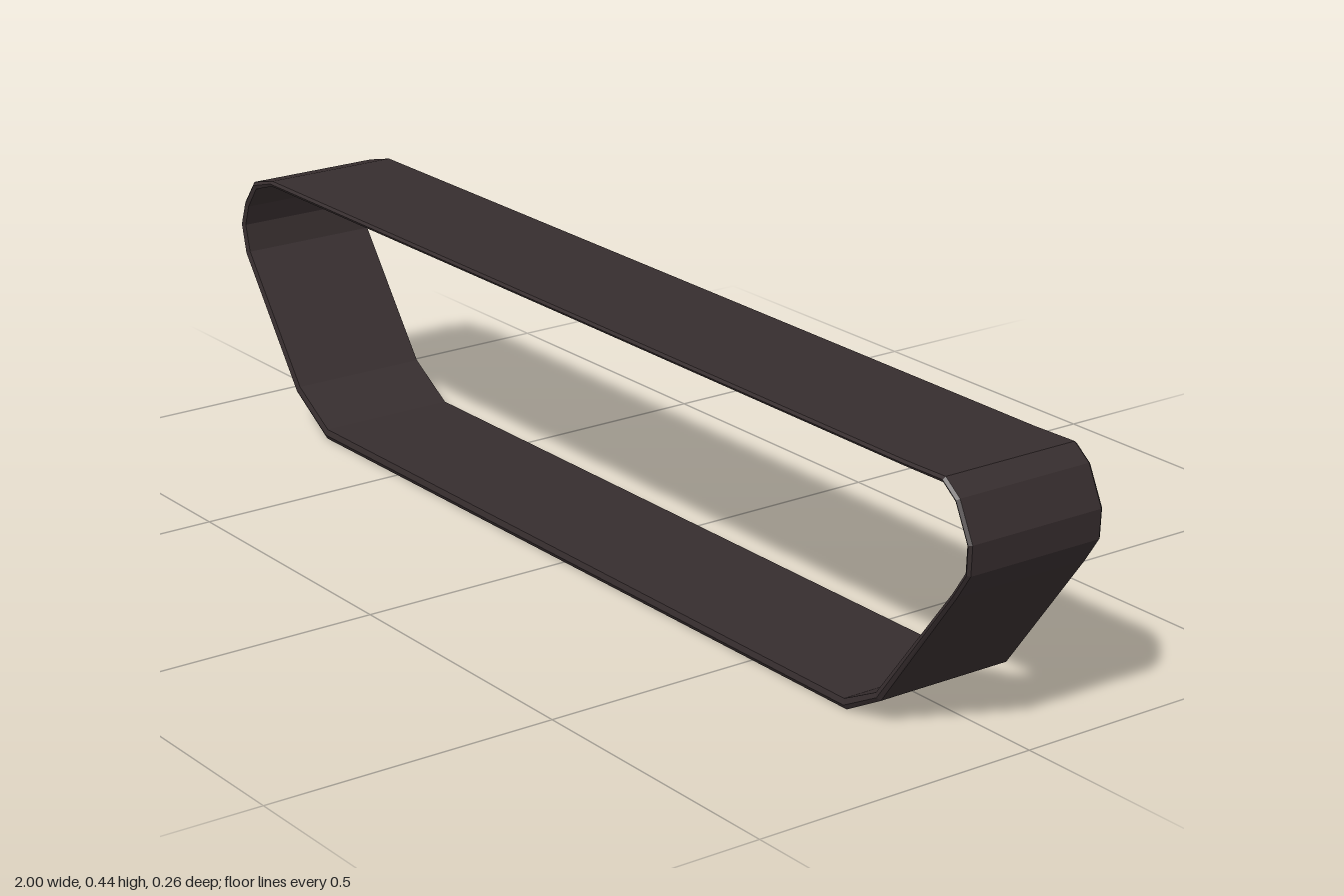
import * as THREE from 'three';

// Outer outline of the belt, counter-clockwise seen from the front: x, y, thickness
const outline = [
  [-0.89, 0.438, 0.009], [-0.952, 0.422, 0.013], [-0.985, 0.378, 0.014], [-1.0, 0.335, 0.015],
  [-0.987, 0.28, 0.016], [-0.826, 0.06, 0.018], [-0.728, 0, 0.019], [0.73, 0, 0.017],
  [0.808, 0.042, 0.014], [0.97, 0.26, 0.009], [0.998, 0.302, 0.009], [1.0, 0.35, 0.009],
  [0.97, 0.412, 0.009], [0.938, 0.436, 0.009], [0.85, 0.434, 0.008], [0, 0.436, 0.008],
];

// Belt cross-section: fraction of the thickness inward, and z, with chamfered rims
const section = [
  [0, 0.123], [0.45, 0.128], [1, 0.125], [1, -0.125], [0.45, -0.128], [0, -0.123],
];

// Moves an outline point inward along the mitre of its two edges
function inset(i, fraction) {
  const n = outline.length;
  const at = (k) => new THREE.Vector2(...outline[(k + n) % n].slice(0, 2));
  const p = at(i);
  const a = p.clone().sub(at(i - 1)).normalize();
  const b = at(i + 1).sub(p).normalize();
  const na = new THREE.Vector2(-a.y, a.x);
  const nb = new THREE.Vector2(-b.y, b.x);
  const mitre = na.clone().add(nb).normalize();
  return p.addScaledVector(mitre, outline[i][2] * fraction / mitre.dot(na));
}

// Sweeps the section round the closed outline
function beltGeometry() {
  const positions = [];
  const indices = [];
  const n = outline.length;
  const m = section.length;
  for (let i = 0; i < n; i++) {
    for (let j = 0; j < m; j++) {
      const p = inset(i, section[j][0]);
      positions.push(p.x, p.y, section[j][1]);
      const k = (j + 1) % m;
      const next = ((i + 1) % n) * m;
      const a = i * m + j, b = next + j, c = next + k, d = i * m + k;
      indices.push(a, b, c, a, c, d);
    }
  }
  const geometry = new THREE.BufferGeometry();
  geometry.setAttribute('position', new THREE.Float32BufferAttribute(positions, 3));
  geometry.setIndex(indices);
  const flat = geometry.toNonIndexed();
  flat.computeVertexNormals();
  return flat;
}

export function createModel() {
  const rubber = new THREE.MeshStandardMaterial({ color: 0x362d2e });
  rubber.name = 'dark brown rubber';

  const belt = new THREE.Mesh(beltGeometry(), rubber);
  belt.name = 'trackBelt';

  const model = new THREE.Group();
  model.name = 'track';
  model.add(belt);
  return model;
}
